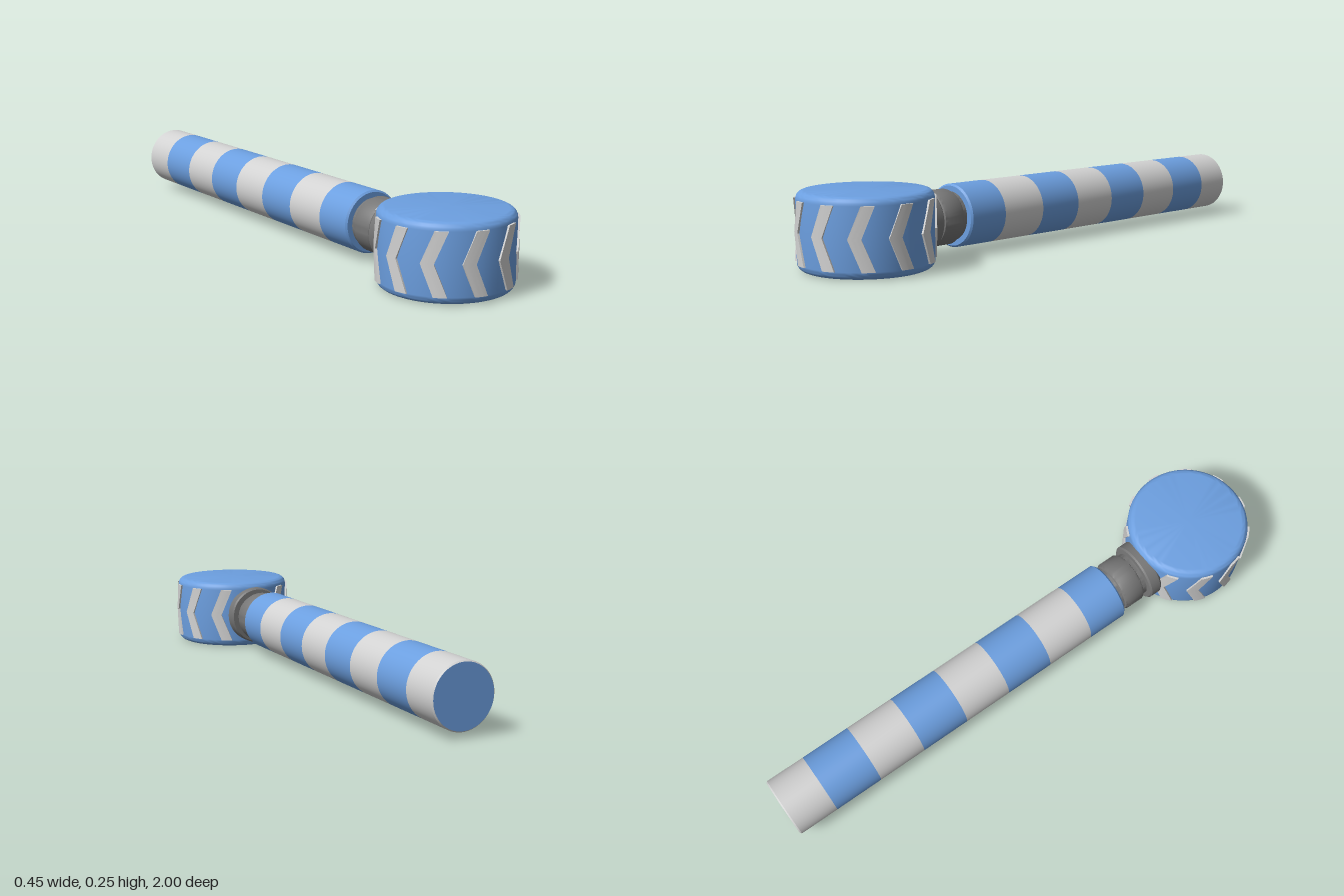
import * as THREE from 'three';
import { toCreasedNormals } from 'three/addons/utils/BufferGeometryUtils.js';

const blue = new THREE.MeshStandardMaterial({ color: 0x6c9fe0 });
blue.name = 'blue';
const paleGrey = new THREE.MeshStandardMaterial({ color: 0xd2d2d2 });
paleGrey.name = 'pale grey';
const darkGrey = new THREE.MeshStandardMaterial({ color: 0x777777 });
darkGrey.name = 'dark grey';

const MID_Y = 0.128;     // height of the handle axis
const HANDLE_X = -0.01;
const HANDLE_R = 0.109;
const HEAD_Z = 0.774;
const HEAD_R = 0.22;
const HEAD_H = 0.255;

function lathe(name, profile, material, sides = 64) {
  const points = profile.map(([r, h]) => new THREE.Vector2(r, h));
  const geometry = toCreasedNormals(new THREE.LatheGeometry(points, sides), 0.6);
  const mesh = new THREE.Mesh(geometry, material);
  mesh.name = name;
  return mesh;
}

// A turned part lying along z
function latheZ(name, profile, material) {
  const mesh = lathe(name, profile, material);
  mesh.geometry.rotateX(Math.PI / 2);
  mesh.position.set(HANDLE_X, MID_Y, 0);
  return mesh;
}

// Raised V-shaped tread, bent around the drum
function chevron(start) {
  const width = 0.19, shift = 0.187, height = 0.204;
  const box = new THREE.BoxGeometry(1, 1, 1, 5, 2, 1);
  const p = box.attributes.position;
  for (let i = 0; i < p.count; i++) {
    const y = p.getY(i);
    const angle = start + (p.getX(i) + 0.5) * width + shift * Math.abs(y) * 2;
    const r = p.getZ(i) > 0 ? 0.227 : 0.208;
    p.setXYZ(i, r * Math.sin(angle), MID_Y + y * height, r * Math.cos(angle));
  }
  const mesh = new THREE.Mesh(toCreasedNormals(box, 0.6), paleGrey);
  mesh.name = 'chevron';
  return mesh;
}

export function createModel() {
  const model = new THREE.Group();
  model.name = 'stripedHammer';

  // Head: upright drum with rounded rims
  const head = new THREE.Group();
  head.name = 'head';
  head.position.z = HEAD_Z;
  const bevel = 0.026;
  const drum = [[0, 0]];
  for (const [centreY, from] of [[bevel, -Math.PI / 2], [HEAD_H - bevel, 0]]) {
    for (let i = 0; i <= 6; i++) {
      const a = from + (i / 6) * Math.PI / 2;
      drum.push([HEAD_R - bevel + bevel * Math.cos(a), centreY + bevel * Math.sin(a)]);
    }
  }
  drum.push([0, HEAD_H]);
  head.add(lathe('drum', drum, blue, 72));

  // Treads around the drum
  const count = 11;
  for (let i = 0; i < count; i++) {
    head.add(chevron(0.09 + (i / count) * Math.PI * 2));
  }
  model.add(head);

  // Neck: groove, rounded bead, groove and flange into the head
  model.add(latheZ('neck', [
    [0.084, 0.385], [0.084, 0.422], [0.09, 0.425], [0.095, 0.434], [0.095, 0.496],
    [0.09, 0.505], [0.084, 0.508], [0.084, 0.524], [0.104, 0.525], [0.109, 0.531],
    [0.109, 0.568], [0.1, 0.58], [0.1, 0.64],
  ], darkGrey));

  // Handle: alternating stripes, pale at the far end
  const handle = new THREE.Group();
  handle.name = 'handle';
  const ends = [-1, -0.85, -0.667, -0.484, -0.3, -0.117, 0.066, 0.25, 0.406];
  const last = ends.length - 2;
  for (let i = 0; i <= last; i++) {
    const profile = [[HANDLE_R, ends[i]], [HANDLE_R, ends[i + 1]]];
    if (i === 0) profile.splice(0, 1, [HANDLE_R - 0.004, -1], [HANDLE_R, -0.995]);
    if (i === last) {
      profile.splice(1, 1, [HANDLE_R, 0.4], [HANDLE_R - 0.006, 0.406], [0.05, 0.406]);
    }
    handle.add(latheZ('stripe', profile, i % 2 ? blue : paleGrey));
  }
  handle.add(latheZ('endCap', [[0, -1], [HANDLE_R - 0.004, -1]], blue));
  model.add(handle);

  return model;
}
